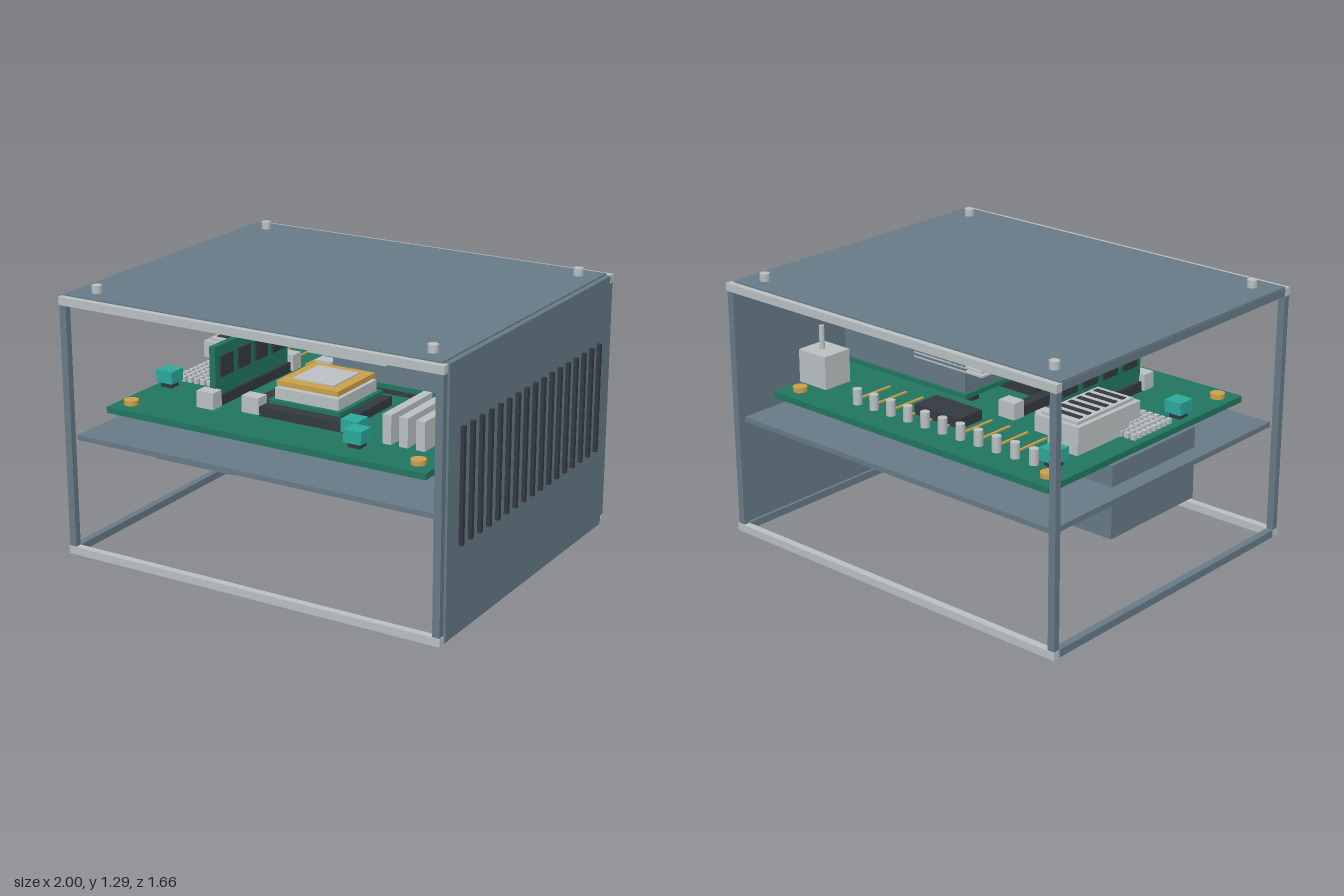
import * as THREE from 'three';

const mat = (name, color) => Object.assign(new THREE.MeshStandardMaterial({ color }), { name });

export function createModel() {
  const steel = mat('blue grey steel', 0x667a86);
  const silver = mat('light grey metal', 0xb9c0c2);
  const dark = mat('dark plastic', 0x343940);
  const green = mat('circuit green', 0x21755f);
  const teal = mat('teal plastic', 0x2aa89a);
  const gold = mat('gold', 0xc9a04a);

  const root = new THREE.Group();
  root.name = 'computerCase';
  const group = (name) => {
    const g = new THREE.Group();
    g.name = name;
    root.add(g);
    return g;
  };
  // Box given by its limits on each axis
  const box = (parent, name, m, x0, x1, y0, y1, z0, z1) => {
    const mesh = new THREE.Mesh(new THREE.BoxGeometry(x1 - x0, y1 - y0, z1 - z0), m);
    mesh.position.set((x0 + x1) / 2, (y0 + y1) / 2, (z0 + z1) / 2);
    mesh.name = name;
    parent.add(mesh);
    return mesh;
  };
  // Upright cylinder between two heights
  const disc = (parent, name, m, x, z, r, y0, y1, sides = 24) => {
    const mesh = new THREE.Mesh(new THREE.CylinderGeometry(r, r, y1 - y0, sides), m);
    mesh.position.set(x, (y0 + y1) / 2, z);
    mesh.name = name;
    parent.add(mesh);
    return mesh;
  };

  // Open frame: rails and corner posts
  const frame = group('frame');
  for (const y of [0, 1.212]) {
    for (const s of [-1, 1]) {
      const z = s * 0.812;
      box(frame, 'crossRail', silver, -1, 0.98, y, y + 0.038, z - 0.018, z + 0.018);
    }
    for (const x of [-0.998, 0.942]) box(frame, 'sideRail', steel, x, x + 0.036, y + 0.001, y + 0.037, -0.8, 0.8);
  }
  for (const x of [-0.998, 0.94]) {
    for (const s of [-1, 1]) {
      box(frame, 'cornerPost', steel, x, x + 0.036, 0.038, 1.212, s * 0.81 - 0.016, s * 0.81 + 0.016);
    }
  }

  // Top and side panels
  const shell = group('panels');
  box(shell, 'topPanel', steel, -0.995, 0.955, 1.235, 1.256, -0.8, 0.8);
  box(shell, 'sidePanel', steel, 0.958, 0.982, 0.005, 1.248, -0.785, 0.785);
  for (let i = 0; i < 17; i++) {
    const z = -0.672 + i * 0.084;
    box(shell, 'ventSlot', dark, 0.98, 1, 0.415, 0.95, z - 0.01, z + 0.01);
  }
  for (const x of [-0.88, 0.857]) {
    for (const z of [-0.7, 0.7]) disc(shell, 'topScrew', silver, x, z, 0.024, 1.25, 1.292, 12);
  }

  // Shelf and power supply
  box(root, 'shelf', steel, -0.955, 0.94, 0.56, 0.585, -0.79, 0.79);
  const supply = group('powerSupply');
  box(supply, 'supplyBox', steel, -0.87, -0.41, 0.335, 0.686, -0.29, 0.31);
  box(supply, 'supplyFace', dark, -0.838, -0.447, 0.385, 0.565, 0.31, 0.318);
  for (const x of [-0.785, -0.645, -0.505]) {
    box(supply, 'supplySocket', teal, x - 0.045, x + 0.045, 0.445, 0.52, 0.318, 0.326);
  }

  // Circuit board with corner screws
  const board = group('circuitBoard');
  box(board, 'boardPlate', green, -0.85, 0.83, 0.685, 0.715, -0.7, 0.7);
  for (const x of [-0.775, 0.745]) {
    for (const z of [-0.61, 0.61]) disc(board, 'boardScrew', gold, x, z, 0.035, 0.715, 0.738);
  }
  for (const [x, z] of [[-0.78, 0.3], [-0.715, -0.5], [0.33, 0.45], [0.41, 0.56]]) {
    box(board, 'tealConnector', teal, x - 0.045, x + 0.045, 0.74, 0.8, z - 0.045, z + 0.045);
    box(board, 'connectorFoot', dark, x - 0.03, x + 0.03, 0.715, 0.74, z - 0.03, z + 0.03);
  }
  // Row of capacitors with gold traces leading forward
  for (let i = 0; i < 11; i++) {
    const x = -0.645 + i * 0.107;
    disc(board, 'capacitor', silver, x, -0.55, 0.022, 0.715, 0.79, 14);
    box(board, 'trace', gold, x + 0.03, x + 0.042, 0.715, 0.722, -0.49, -0.3);
  }
  box(board, 'controlChip', dark, -0.14, 0.14, 0.715, 0.765, -0.47, -0.32);

  // Processor stack
  const cpu = group('processor');
  const layers = [
    ['socketBase', silver, 0.17, 0.715, 0.728], ['socket', dark, 0.22, 0.726, 0.77],
    ['socketRiser', dark, 0.14, 0.77, 0.787], ['substrate', green, 0.19, 0.785, 0.803],
    ['heatSpreader', silver, 0.168, 0.803, 0.857], ['spreaderStep', silver, 0.12, 0.857, 0.868],
    ['contactPlate', gold, 0.162, 0.866, 0.89], ['coreCap', silver, 0.11, 0.89, 0.896],
  ];
  for (const [name, m, r, y0, y1] of layers) box(cpu, name, m, 0.06 - r, 0.06 + r, y0, y1, 0.25 - r, 0.25 + r);

  // Finned cooler with a fan on top
  const cooler = group('cooler');
  for (let i = 0; i < 11; i++) {
    const y = 0.922 + i * 0.0205;
    box(cooler, 'coolerFin', silver, -0.15, 0.27, y, y + 0.009, -0.33, 0.07);
  }
  for (const x of [-0.02, 0.14]) disc(cooler, 'heatPipe', silver, x, -0.13, 0.02, 0.9, 1.15, 12);
  disc(cooler, 'coolerFan', dark, 0.058, -0.13, 0.195, 1.15, 1.188, 32);
  disc(cooler, 'fanRing', silver, 0.058, -0.13, 0.11, 1.188, 1.197);
  disc(cooler, 'fanHub', dark, 0.058, -0.13, 0.06, 1.197, 1.207);

  // Graphics card with two fans
  const card = group('graphicsCard');
  box(card, 'cardSlot', dark, 0.05, 0.6, 0.715, 0.8, -0.18, -0.13);
  box(card, 'cardBoard', green, -0.06, 0.75, 0.8, 0.822, -0.34, 0.03);
  box(card, 'cardShroud', steel, -0.045, 0.722, 0.822, 0.96, -0.33, 0.02);
  for (const x of [0.13, 0.54]) {
    disc(card, 'cardFan', dark, x, -0.155, 0.122, 0.96, 0.985, 32);
    disc(card, 'cardFanRing', silver, x, -0.155, 0.07, 0.985, 0.998);
    disc(card, 'cardFanHub', dark, x, -0.155, 0.035, 0.998, 1.004);
  }

  // Memory slots with end clips, one holding a memory stick
  const memory = group('memory');
  for (const [x, front] of [[-0.435, 0.47], [-0.22, 0.42]]) {
    box(memory, 'memorySlot', dark, x - 0.03, x + 0.03, 0.715, 0.765, -0.19, front);
    for (const z of [-0.21, front]) box(memory, 'slotClip', silver, x - 0.046, x + 0.046, 0.722, 0.802, z - 0.035, z + 0.035);
  }
  box(memory, 'memoryStick', green, -0.45, -0.418, 0.765, 1, -0.17, 0.44);
  for (let i = 0; i < 4; i++) {
    const z = -0.13 + i * 0.145;
    box(memory, 'memoryChip', dark, -0.46, -0.408, 0.85, 0.95, z, z + 0.1);
  }

  // Upright expansion blades
  for (const x of [0.507, 0.59, 0.675]) {
    box(board, 'expansionBlade', silver, x - 0.022, x + 0.022, 0.715, 0.852, 0.1, 0.47);
  }

  // Slotted heat sink block
  const sink = group('chipHeatSink');
  box(sink, 'sinkFoot', silver, -0.73, -0.56, 0.715, 0.79, -0.36, 0);
  box(sink, 'sinkBlock', silver, -0.768, -0.52, 0.79, 0.87, -0.4, 0.03);
  box(sink, 'sinkTop', silver, -0.745, -0.543, 0.87, 0.884, -0.38, 0.01);
  for (let i = 0; i < 6; i++) {
    const z = -0.345 + i * 0.06;
    box(sink, 'sinkSlot', dark, -0.725, -0.563, 0.884, 0.889, z, z + 0.025);
  }

  // Grid of small pins
  const pins = group('pinGrid');
  for (let i = 0; i < 6; i++) {
    for (let j = 0; j < 8; j++) {
      const x = -0.81 + i * 0.036, z = -0.06 + j * 0.036;
      box(pins, 'pin', silver, x, x + 0.022, 0.715, 0.74, z, z + 0.022);
    }
  }

  // Rear port block with antenna and side plug
  const port = group('rearPort');
  box(port, 'portBlock', silver, 0.645, 0.82, 0.722, 0.885, -0.54, -0.38);
  disc(port, 'antenna', silver, 0.745, -0.46, 0.013, 0.885, 1, 12);
  const plug = disc(port, 'sidePlug', dark, 0.834, -0.46, 0.043, 0.793, 0.823);
  plug.rotation.z = Math.PI / 2;

  return root;
}
